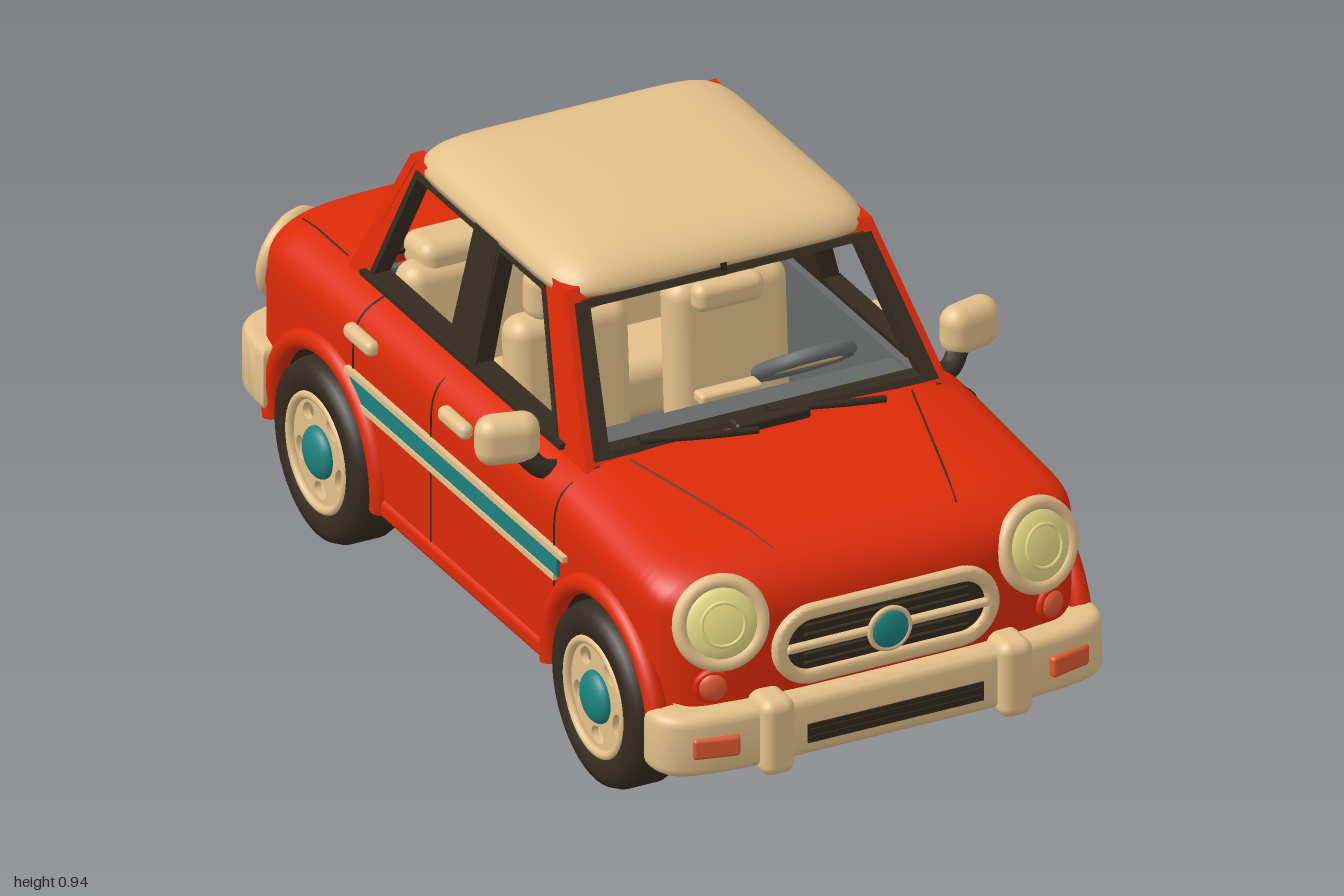
import * as THREE from 'three';
import { toCreasedNormals } from 'three/addons/utils/BufferGeometryUtils.js';
import { RoundedBoxGeometry } from 'three/addons/geometries/RoundedBoxGeometry.js';

const paint = (name, color, side = THREE.FrontSide) => {
  const m = new THREE.MeshStandardMaterial({ color, side });
  m.name = name;
  return m;
};
const red = paint('red paint', 0xdc2a07, THREE.DoubleSide);
const cream = paint('cream', 0xe3c08a, THREE.DoubleSide);
const dark = paint('dark rubber', 0x342a1f, THREE.DoubleSide);
const brown = paint('underside brown', 0x2c1a08);
const grey = paint('interior grey', 0x666968, THREE.DoubleSide);
const teal = paint('teal', 0x1c8280);
const yellow = paint('lamp yellow', 0xeadd88);
const orange = paint('lamp orange', 0xdc5a32);

const WHEEL_Z = [0.635, -0.56], WHEEL_Y = 0.195, WAIST = 0.42, HALF = 0.485;

function add(parent, name, geo, mat, x = 0, y = 0, z = 0, rx = 0, ry = 0, rz = 0) {
  const m = new THREE.Mesh(geo, mat);
  m.name = name;
  m.position.set(x, y, z);
  m.rotation.set(rx, ry, rz);
  parent.add(m);
  return m;
}
const rbox = (w, h, d, r = 0.02) => new RoundedBoxGeometry(w, h, d, 3, r);
const box = (w, h, d) => new THREE.BoxGeometry(w, h, d);
const tube = (pts, r, n = 24) => new THREE.TubeGeometry(
  new THREE.CatmullRomCurve3(pts.map(p => new THREE.Vector3(...p))), n, r, 8);
const poly = pts => pts.map(p => new THREE.Vector2(...p));

// Smooth surface through a grid of points
function grid(rows, cols, point, skip = () => false) {
  const pos = [], idx = [];
  for (let i = 0; i <= rows; i++) for (let j = 0; j <= cols; j++) pos.push(...point(i, j));
  for (let i = 0; i < rows; i++) for (let j = 0; j < cols; j++) {
    if (skip(i, j)) continue;
    const a = i * (cols + 1) + j, b = a + cols + 1;
    idx.push(a, a + 1, b, a + 1, b + 1, b);
  }
  const g = new THREE.BufferGeometry();
  g.setAttribute('position', new THREE.Float32BufferAttribute(pos, 3));
  g.setIndex(idx);
  g.computeVertexNormals();
  return g;
}

// Flat frame with openings, moved into place by a rule
function frame(outline, holes, depth, map) {
  const s = new THREE.Shape(poly(outline));
  s.holes = holes.map(h => new THREE.Path(poly(h)));
  const g = new THREE.ExtrudeGeometry(s, { depth, bevelEnabled: false });
  const p = g.attributes.position;
  for (let i = 0; i < p.count; i++) p.setXYZ(i, ...map(p.getX(i), p.getY(i), p.getZ(i)));
  g.computeVertexNormals();
  return g;
}
function scaled(pts, k) {
  const cx = pts.reduce((t, p) => t + p[0], 0) / pts.length;
  const cy = pts.reduce((t, p) => t + p[1], 0) / pts.length;
  return pts.map(([x, y]) => [cx + (x - cx) * k, cy + (y - cy) * k]);
}

// Body section: rounded shoulders, tapering into nose and tail
function section(z) {
  const s = Math.min(1, Math.max(0, (Math.abs(z) - 0.72) / 0.21));
  const top = z > 0.42 ? 0.605 - (z - 0.42) * 0.09 : 0.605;
  return { w: HALF * (1 - s ** 4) ** 0.25, top: WAIST + (top - WAIST) * (1 - s ** 3) ** (1 / 3) };
}
function bottom(z) {
  let y = 0.165;
  for (const c of WHEEL_Z) {
    const d = 0.215 ** 2 - (z - c) ** 2;
    if (d > 0) y = Math.max(y, WHEEL_Y + Math.sqrt(d));
  }
  return y;
}
const sideX = y => y < WAIST ? HALF : HALF * Math.max(0, 1 - ((y - WAIST) / 0.185) ** 5) ** 0.2;
function topY(x, z) {
  const { w, top } = section(z);
  return WAIST + (top - WAIST) * Math.max(0, 1 - Math.abs(x / w) ** 5) ** 0.2;
}

function bodyShell() {
  const zs = [0.42, -0.585];
  for (let i = 0; i <= 14; i++) {
    const e = 0.72 + 0.21 * Math.sin(i / 14 * Math.PI / 2);
    zs.push(e, -e);
  }
  for (const c of WHEEL_Z) for (let i = 0; i <= 24; i++) zs.push(c - 0.2152 * Math.cos(i / 24 * Math.PI));
  for (let i = 0; i <= 8; i++) zs.push(-0.33 + i * 0.09);
  zs.sort((a, b) => a - b);
  const low = 4, M = 48;
  const point = (i, j) => {
    const z = zs[i], { w, top } = section(z), k = j - low;
    if (k < 0 || k > M) {
      const t = (k < 0 ? -k : k - M) / low;
      return [k < 0 ? w : -w, WAIST + (bottom(z) - WAIST) * t, z];
    }
    const c = Math.cos(k / M * Math.PI), s = Math.max(0, Math.sin(k / M * Math.PI));
    return [w * Math.sign(c) * Math.abs(c) ** 0.4, WAIST + (top - WAIST) * s ** 0.4, z];
  };
  return grid(zs.length - 1, M + 2 * low, point, (i, j) =>
    zs[i] > -0.59 && zs[i + 1] < 0.425 && j - low >= 15 && j - low < 33);
}

function roofShell() {
  const R = 18, rp = (c, s) => (Math.abs(c) ** 9 + Math.abs(s) ** 9) ** (-1 / 9);
  return grid(R + 1, 96, (i, j) => {
    const r = i > R ? 0 : Math.sin(i / R * Math.PI / 2), a = j / 96 * Math.PI * 2;
    const c = Math.cos(a), s = Math.sin(a), k = rp(c, s) * r;
    return [0.356 * c * k, 0.864 + (i > R ? 0 : 0.081 * Math.sqrt(Math.max(0, 1 - r ** 5))), -0.115 + 0.35 * s * k];
  });
}

function stadium(halfW, r) {
  const s = new THREE.Shape();
  s.absarc(halfW - r, 0, r, -Math.PI / 2, Math.PI / 2);
  s.absarc(-halfW + r, 0, r, Math.PI / 2, Math.PI * 1.5);
  return s.closePath();
}

function wheel() {
  const g = new THREE.Group();
  const tyre = [[0.125, -0.06], [0.165, -0.065], [0.187, -0.055], [0.195, -0.035], [0.195, 0.035], [0.187, 0.055], [0.165, 0.065], [0.13, 0.06], [0.125, 0.045]];
  const turn = geo => geo.rotateZ(-Math.PI / 2);
  add(g, 'tyre', turn(new THREE.LatheGeometry(poly(tyre), 48)), dark);
  add(g, 'rimBarrel', turn(new THREE.CylinderGeometry(0.126, 0.126, 0.11, 40, 1, true)), cream);
  add(g, 'rimEdge', new THREE.TorusGeometry(0.121, 0.01, 8, 40), cream, 0.055, 0, 0, 0, Math.PI / 2);
  const disc = new THREE.Shape().absarc(0, 0, 0.125, 0, Math.PI * 2);
  for (let i = 0; i < 5; i++) {
    const a = -Math.PI / 2 + i * Math.PI * 0.4;
    disc.holes.push(new THREE.Path().absellipse(0.087 * Math.cos(a), 0.087 * Math.sin(a), 0.018, 0.025, 0, Math.PI * 2, false, a));
  }
  const face = new THREE.ExtrudeGeometry(disc, { depth: 0.015, bevelEnabled: false, curveSegments: 32 });
  add(g, 'rimFace', face.rotateY(Math.PI / 2), cream, 0.035);
  add(g, 'hubCap', new THREE.SphereGeometry(0.056, 24, 16).scale(0.45, 1, 1), teal, 0.053);
  return g;
}

function bumper(end, height) {
  const g = new THREE.Group(), s = new THREE.Shape();
  s.moveTo(0.51, end);
  s.bezierCurveTo(0.515, 0.95, 0.46, 0.965, 0.3, 0.975);
  s.lineTo(-0.3, 0.975);
  s.bezierCurveTo(-0.46, 0.965, -0.515, 0.95, -0.51, end);
  s.lineTo(-0.43, end);
  s.bezierCurveTo(-0.43, 0.89, -0.4, 0.9, -0.3, 0.9);
  s.lineTo(0.3, 0.9);
  s.bezierCurveTo(0.4, 0.9, 0.43, 0.89, 0.43, end);
  const b = 0.022, geo = new THREE.ExtrudeGeometry(s, { depth: height - 2 * b, bevelThickness: b, bevelSize: b, bevelOffset: -b, bevelSegments: 4, curveSegments: 16 });
  geo.rotateX(Math.PI / 2).translate(0, height / 2 - b, 0);
  add(g, 'bumperBar', toCreasedNormals(geo, 0.7), cream);
  for (const x of [-1, 1]) {
    add(g, 'overrider', rbox(0.075, height + 0.035, 0.1, 0.025), cream, x * 0.27, 0, 0.95);
    add(g, 'bumperLamp', rbox(0.098, 0.046, 0.03, 0.008), orange, x * 0.4, 0, 0.959, 0, x * 0.25);
  }
  return g;
}

function roundLamp(parent, name, x, y, z, ry, rx, lens, bulge) {
  const g = new THREE.Group();
  g.name = name;
  g.position.set(x, y, z);
  g.rotation.set(rx, ry, 0, 'YXZ');
  add(g, 'lampPod', new THREE.CylinderGeometry(0.096, 0.085, 0.14, 36).rotateX(Math.PI / 2), red, 0, 0, -0.07);
  add(g, 'lampRing', new THREE.TorusGeometry(0.086, 0.016, 12, 40), cream);
  add(g, 'lampLens', new THREE.SphereGeometry(0.08, 28, 16).scale(1, 1, bulge), lens);
  if (lens === yellow) add(g, 'lampBulb', new THREE.TorusGeometry(0.045, 0.004, 6, 32), yellow, 0, 0, 0.021);
  parent.add(g);
}

export function createModel() {
  const car = new THREE.Group();
  car.name = 'car';
  add(car, 'bodyShell', bodyShell(), red);
  add(car, 'roof', roofShell(), cream);

  // Chassis and cabin tub
  add(car, 'underside', box(0.74, 0.03, 1.8), brown, 0, 0.17, 0);
  add(car, 'floorPan', box(0.95, 0.03, 0.74), brown, 0, 0.17, 0.035);
  add(car, 'cabinFloor', box(0.76, 0.02, 1.0), grey, 0, 0.21, -0.08);
  add(car, 'firewall', box(0.78, 0.36, 0.02), grey, 0, 0.38, 0.41);
  add(car, 'rearBulkhead', box(0.78, 0.36, 0.02), grey, 0, 0.38, -0.59);
  add(car, 'dashboard', rbox(0.76, 0.14, 0.15, 0.03), grey, 0, 0.525, 0.34);

  // Windscreen and rear window frames
  const ends = [
    ['windscreen', (x, y, c) => [x, y, 0.425 - (y - 0.59) * 0.74 + c]],
    ['rearWindow', (x, y, c) => [-x, y, -0.59 + (y - 0.59) * 0.47 - c]],
  ];
  const pane = [[-0.365, 0.61], [-0.315, 0.852], [0.315, 0.852], [0.365, 0.61]];
  for (const [name, map] of ends) {
    add(car, name + 'Frame', frame([[-0.415, 0.575], [-0.35, 0.88], [0.35, 0.88], [0.415, 0.575]], [pane], 0.025, (x, y, c) => map(x, y, c - 0.025)), red);
    add(car, name + 'Seal', frame(scaled(pane, 1.07), [scaled(pane, 0.97)], 0.037, (x, y, c) => map(x, y, c - 0.029)), dark);
  }

  // Left half, mirrored for the right
  const half = new THREE.Group();
  half.name = 'leftSide';
  const wall = off => (z, y, c) => [0.415 - (y - 0.58) * 0.225 + off - c, y, z];
  const front = [[0.29, 0.608], [0.13, 0.855], [-0.055, 0.855], [-0.055, 0.608]];
  const rear = [[-0.155, 0.608], [-0.155, 0.855], [-0.41, 0.855], [-0.495, 0.608]];
  add(half, 'pillars', frame([[0.435, 0.57], [0.215, 0.885], [-0.455, 0.885], [-0.6, 0.57]], [front, rear], 0.03, wall(0)), red);
  for (const w of [front, rear]) add(half, 'windowSeal', frame(scaled(w, 1.08), [scaled(w, 0.97)], 0.038, wall(0.004)), dark);
  add(half, 'centrePillar', frame([[-0.048, 0.6], [-0.06, 0.868], [-0.16, 0.868], [-0.166, 0.6]], [], 0.042, wall(0.006)), dark);
  add(half, 'beltSeal', box(0.03, 0.012, 0.86), dark, 0.408, 0.6, -0.1);
  add(half, 'doorLining', box(0.02, 0.39, 1.0), grey, 0.372, 0.4, -0.085);
  add(half, 'sill', rbox(0.04, 0.045, 0.72, 0.015), red, 0.472, 0.18, 0.04);

  // Stripes, handles and door seams
  add(half, 'tealStripe', box(0.009, 0.046, 0.89), teal, 0.488, 0.403, 0.005);
  add(half, 'upperStripe', box(0.02, 0.013, 0.94), cream, 0.486, 0.432, 0.012);
  add(half, 'lowerStripe', box(0.02, 0.013, 0.86), cream, 0.486, 0.374, 0.01);
  for (const z of [0.008, -0.398]) add(half, 'doorHandle', rbox(0.032, 0.035, 0.115, 0.015), cream, 0.489, 0.524, z);
  for (const [z, lo] of [[0.425, 0.25], [-0.105, 0.2], [-0.44, 0.43]]) {
    const pts = [];
    for (let i = 0; i <= 10; i++) {
      const y = lo + (0.592 - lo) * i / 10;
      pts.push([sideX(y), y, z]);
    }
    add(half, 'doorSeam', tube(pts, 0.0025), dark);
  }
  add(half, 'hoodSeam', tube([0, 1, 2, 3, 4, 5].map(i => {
    const z = 0.44 + i * 0.08, x = 0.32 - i * 0.022;
    return [x, topY(x, z), z];
  }), 0.0022), dark);
  add(half, 'trunkSeam', tube([-0.62, -0.69, -0.76, -0.82].map(z => [0.4, topY(0.4, z), z]), 0.002), dark);

  // Wheels and arches
  for (const z of WHEEL_Z) {
    const w = wheel();
    w.name = z > 0 ? 'frontWheel' : 'rearWheel';
    w.position.set(0.447, WHEEL_Y, z);
    half.add(w);
    add(half, 'wheelArch', new THREE.TorusGeometry(0.232, 0.023, 10, 40, Math.PI + 0.24).rotateZ(-0.12).rotateY(Math.PI / 2), red, 0.482, WHEEL_Y, z);
    add(half, 'archLiner', new THREE.CylinderGeometry(0.216, 0.216, 0.11, 32, 1, true, 0, Math.PI).rotateZ(Math.PI / 2), dark, 0.428, WHEEL_Y, z);
    add(half, 'archWall', new THREE.CircleGeometry(0.216, 32, 0, Math.PI).rotateY(Math.PI / 2), dark, 0.383, WHEEL_Y, z);
  }

  // Lamps and door mirror
  roundLamp(half, 'headlight', 0.36, 0.455, 0.905, 0.22, -0.25, yellow, 0.32);
  roundLamp(half, 'tailLight', 0.395, 0.475, -0.882, Math.PI - 0.42, -0.15, red, 0.5);
  add(half, 'signalRing', new THREE.TorusGeometry(0.031, 0.008, 8, 28), red, 0.385, 0.322, 0.915, 0, 0.3);
  add(half, 'signalLamp', new THREE.SphereGeometry(0.03, 20, 12).scale(1, 1, 0.55), orange, 0.385, 0.322, 0.917, 0, 0.3);
  add(half, 'mirrorStalk', tube([[0.43, 0.555, 0.335], [0.465, 0.565, 0.33], [0.505, 0.61, 0.305]], 0.022), dark);
  add(half, 'mirrorHousing', rbox(0.134, 0.108, 0.074, 0.036), cream, 0.525, 0.632, 0.298, 0, 0.25);

  // Seats
  add(half, 'seatCushion', rbox(0.27, 0.12, 0.3, 0.04), cream, 0.18, 0.32, 0.05);
  add(half, 'seatBack', rbox(0.27, 0.36, 0.09, 0.04), cream, 0.18, 0.48, -0.1, -0.06);
  add(half, 'headrest', rbox(0.175, 0.12, 0.075, 0.035), cream, 0.18, 0.7, -0.112);
  add(half, 'rearCushion', rbox(0.35, 0.13, 0.22, 0.04), cream, 0.18, 0.32, -0.38);
  add(half, 'rearSeatBack', rbox(0.34, 0.3, 0.09, 0.04), cream, 0.18, 0.46, -0.49, -0.1);
  add(half, 'rearHeadrest', rbox(0.27, 0.08, 0.11, 0.03), cream, 0.173, 0.61, -0.525);
  car.add(half);
  const other = half.clone();
  other.name = 'rightSide';
  other.scale.x = -1;
  car.add(other);

  // Grille
  const grille = new THREE.Group();
  grille.name = 'grille';
  grille.position.set(0, 0.375, 0.925);
  const ring = stadium(0.248, 0.08);
  ring.holes.push(stadium(0.233, 0.065));
  const bevel = { depth: 0.02, bevelThickness: 0.008, bevelSize: 0.008, bevelSegments: 3, curveSegments: 20 };
  add(grille, 'grilleSurround', toCreasedNormals(new THREE.ExtrudeGeometry(ring, bevel), 0.7), cream, 0, 0, -0.008);
  add(grille, 'grilleBack', new THREE.ShapeGeometry(stadium(0.24, 0.072), 20), dark, 0, 0, 0.008);
  for (const y of [-0.042, -0.022, 0.022, 0.042]) add(grille, 'grilleSlat', box(0.37, 0.007, 0.012), dark, 0, y, 0.012);
  add(grille, 'grilleBar', rbox(0.46, 0.017, 0.02, 0.007), cream, 0, 0, 0.015);
  add(grille, 'badgeRing', new THREE.TorusGeometry(0.045, 0.006, 8, 32), cream, 0, 0, 0.026);
  add(grille, 'badge', new THREE.SphereGeometry(0.044, 24, 12).scale(1, 1, 0.35), teal, 0, 0, 0.025);
  car.add(grille);

  // Bumpers and rear plate
  const fb = bumper(0.86, 0.135);
  fb.name = 'frontBumper';
  fb.position.y = 0.21;
  add(fb, 'airIntake', box(0.4, 0.042, 0.008), dark, 0, -0.014, 0.974);
  for (const y of [-0.022, -0.006]) add(fb, 'intakeSlat', box(0.39, 0.005, 0.008), dark, 0, y, 0.977);
  const rb = bumper(0.78, 0.145);
  rb.name = 'rearBumper';
  rb.position.y = 0.255;
  rb.rotation.y = Math.PI;
  add(rb, 'bumperPanel', rbox(0.34, 0.07, 0.012, 0.005), cream, 0, 0, 0.974);
  car.add(fb, rb);
  add(car, 'plateRecess', box(0.3, 0.1, 0.009), orange, 0, 0.43, -0.93);

  // Wipers, cowl vent, cabin mirror and steering
  add(car, 'cowlVent', rbox(0.17, 0.025, 0.04, 0.008), dark, 0, 0.612, 0.435);
  for (const x of [-0.13, 0.16]) add(car, 'wiper', tube([[x + 0.09, 0.607, 0.46], [x, 0.614, 0.45], [x - 0.16, 0.625, 0.42]], 0.008), dark);
  add(car, 'cabinMirror', rbox(0.158, 0.062, 0.05, 0.022), cream, 0, 0.816, 0.25);
  add(car, 'cabinMirrorStem', box(0.014, 0.04, 0.014), dark, 0, 0.852, 0.23);
  add(car, 'steeringWheel', new THREE.TorusGeometry(0.095, 0.016, 10, 36), grey, 0.18, 0.608, 0.24, 0.95);
  add(car, 'steeringSpoke', rbox(0.17, 0.035, 0.02, 0.008), cream, 0.18, 0.605, 0.24, 0.95);
  add(car, 'dashVents', rbox(0.14, 0.025, 0.04, 0.008), cream, 0, 0.59, 0.255);
  return car;
}
